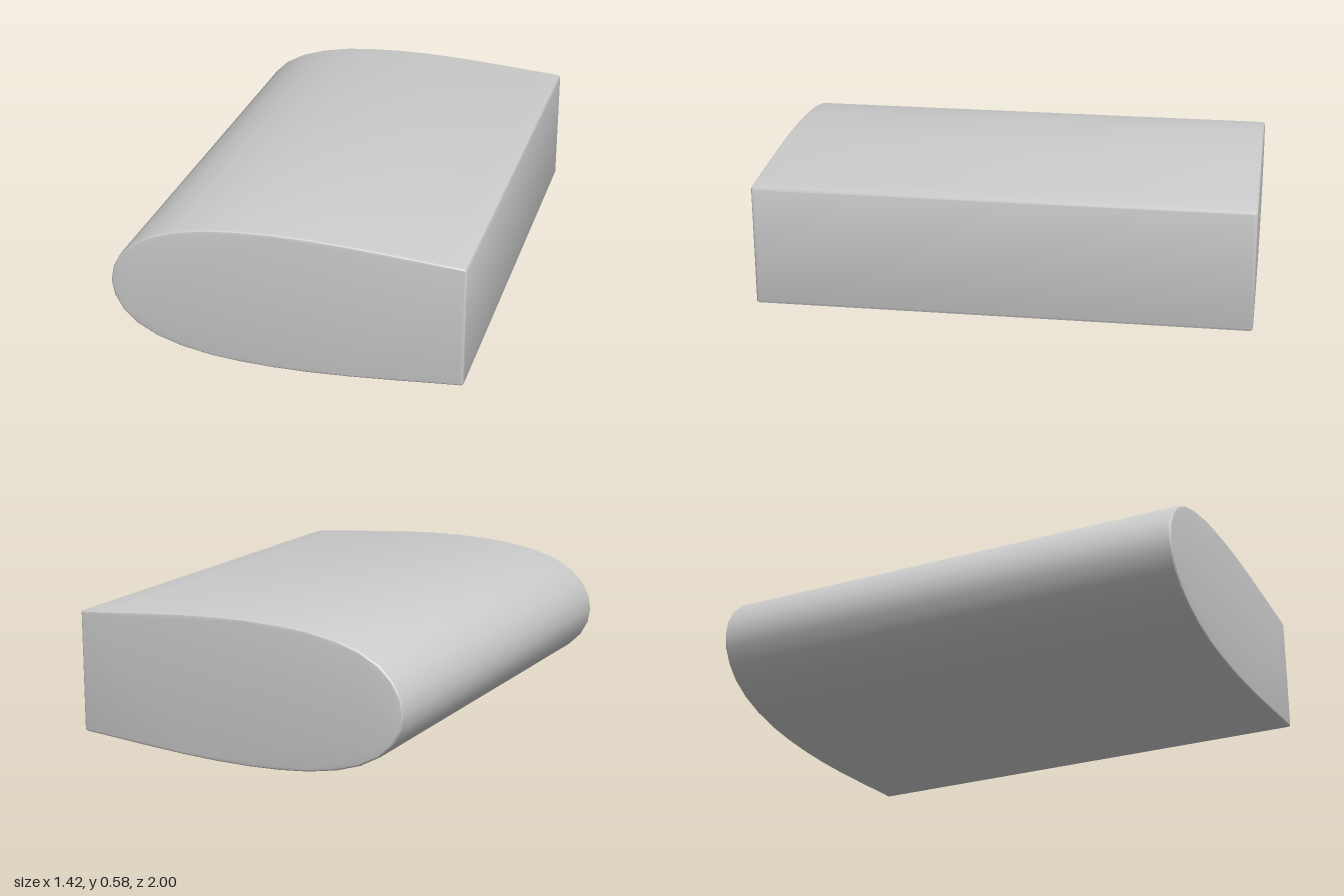
import * as THREE from 'three';
import { toCreasedNormals } from 'three/addons/utils/BufferGeometryUtils.js';

const MID = 0.297; // height of the symmetry plane
const BEVEL = 0.012;

// Upper half of the section from nose to tail: [x, height above the middle]
const UPPER = [
  [-0.7, 0.062], [-0.667, 0.122], [-0.612, 0.176], [-0.53, 0.221],
  [-0.43, 0.253], [-0.31, 0.275], [-0.19, 0.286], [-0.05, 0.291],
  [0.09, 0.29], [0.25, 0.283], [0.45, 0.269], [0.6, 0.257],
  [0.695, 0.25], [0.704, 0.247], [0.708, 0.238],
];

export function createModel() {
  const group = new THREE.Group();
  group.name = 'wingBlock';

  // Mirror the upper half to close the rounded-nose, blunt-tail section
  const lower = UPPER.map(([x, y]) => new THREE.Vector2(x, -y));
  const upper = UPPER.map(([x, y]) => new THREE.Vector2(x, y)).reverse();
  const section = new THREE.Shape([new THREE.Vector2(-0.711, 0), ...lower, ...upper]);

  // Extrude front to back, with a fine rounded edge at both end faces
  const geometry = new THREE.ExtrudeGeometry(section, {
    depth: 2 - 2 * BEVEL,
    bevelEnabled: true,
    bevelThickness: BEVEL,
    bevelSize: BEVEL,
    bevelOffset: -BEVEL,
    bevelSegments: 3,
  });
  geometry.translate(0, MID, -1 + BEVEL);

  const body = new THREE.Mesh(
    toCreasedNormals(geometry, THREE.MathUtils.degToRad(25)),
    new THREE.MeshStandardMaterial({ color: 0xcccccc }),
  );
  body.name = 'body';
  group.add(body);
  return group;
}
